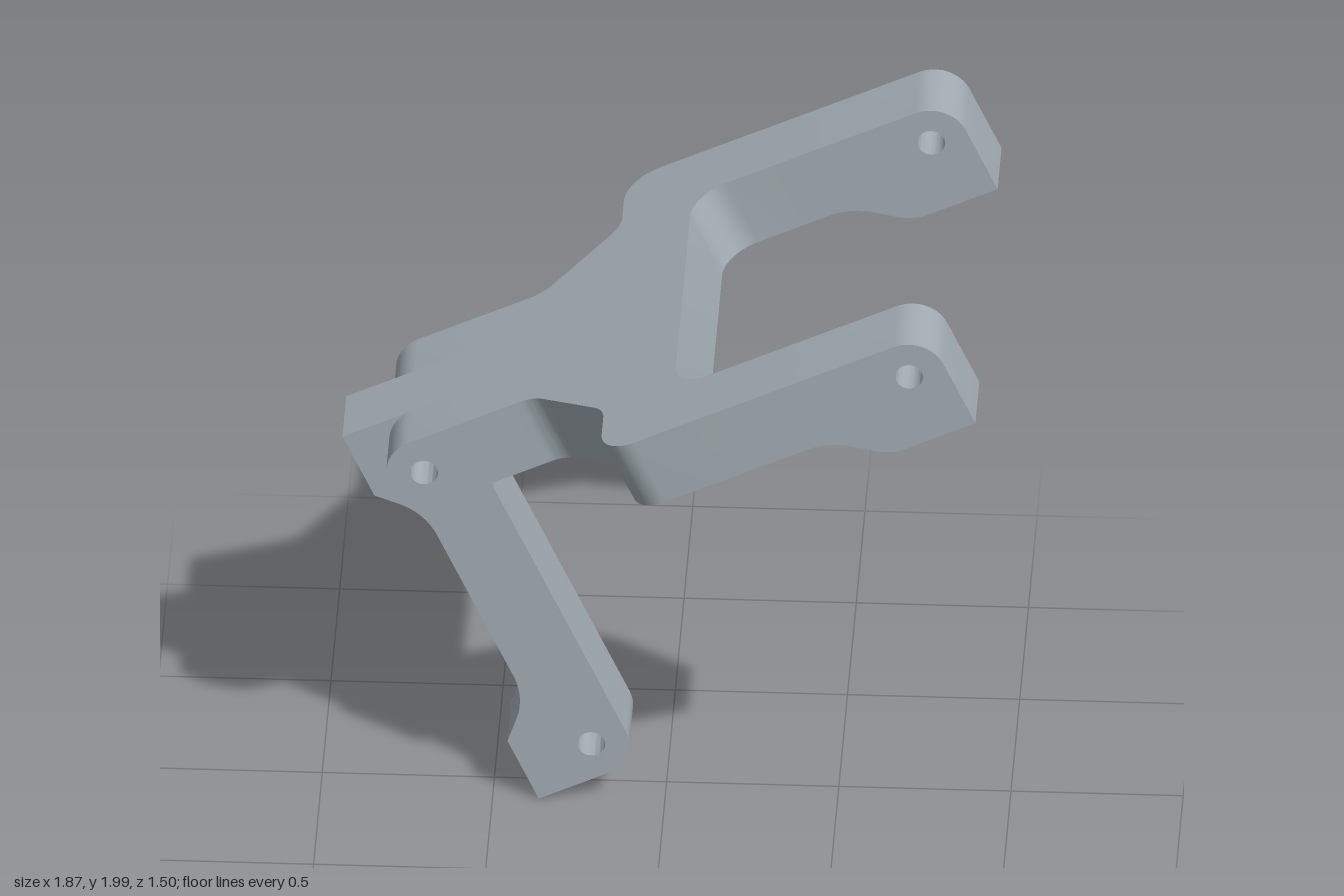
import * as THREE from 'three';
import { toCreasedNormals } from 'three/addons/utils/BufferGeometryUtils.js';

const ARM = 0.11;      // half thickness of every bar
const FOOT = -0.22;    // level of the drilled foot faces
const HOLE = 0.04;     // radius of the pivot holes

// Closed outline from corners [x, y, fillet radius]
function outline(corners) {
  const pts = [];
  const n = corners.length;
  corners.forEach(([x, y, r], i) => {
    const p = new THREE.Vector2(x, y);
    if (!r) { pts.push(p); return; }
    const a = new THREE.Vector2(...corners[(i + n - 1) % n].slice(0, 2)).sub(p).normalize();
    const b = new THREE.Vector2(...corners[(i + 1) % n].slice(0, 2)).sub(p).normalize();
    const half = Math.acos(a.dot(b)) / 2;
    const t = r / Math.tan(half);
    const c = a.clone().add(b).normalize().multiplyScalar(r / Math.sin(half)).add(p);
    const start = a.clone().multiplyScalar(t).add(p).sub(c).angle();
    const sweep = (Math.PI - 2 * half) * (a.cross(b) > 0 ? -1 : 1);
    for (let k = 0; k <= 10; k++) {
      const q = start + sweep * k / 10;
      pts.push(new THREE.Vector2(c.x + r * Math.cos(q), c.y + r * Math.sin(q)));
    }
  });
  return new THREE.Shape(pts);
}

function addHole(shape, x, y, r) {
  const path = new THREE.Path();
  path.absarc(x, y, r, 0, Math.PI * 2, true);
  shape.holes.push(path);
}

// Triangles of a geometry as triples of points
function triangles(geo) {
  const g = geo.index ? geo.toNonIndexed() : geo;
  const p = g.attributes.position;
  const out = [];
  for (let i = 0; i < p.count; i += 3) {
    out.push([0, 1, 2].map(k => new THREE.Vector3().fromBufferAttribute(p, i + k)));
  }
  return out;
}

function solid(tris) {
  const g = new THREE.BufferGeometry().setFromPoints(tris.flat());
  return toCreasedNormals(g, 0.5);
}

const near = (a, b) => Math.abs(a - b) < 1e-5;

function extrude(shape, depth) {
  return new THREE.ExtrudeGeometry(shape, { depth, bevelEnabled: false, curveSegments: 24 })
    .translate(0, 0, -depth / 2);
}

// Bar extruded across z, with pivot holes along y = 0 and countersunk bores in its feet
function bar(corners, width, pivots, feet, seam) {
  const shape = outline(corners);
  pivots.forEach(x => addHole(shape, x, 0, HOLE));
  let tris = triangles(extrude(shape, width)).filter(t => !seam(t));
  feet.forEach(x => {
    const isFace = t => t.every(v => near(v.y, FOOT) && Math.abs(v.x - x) < 0.25);
    const box = new THREE.Box3().setFromPoints(tris.filter(isFace).flat());
    tris = tris.filter(t => !isFace(t));
    const { min, max } = box;
    const plate = outline([[min.x, min.z], [max.x, min.z], [max.x, max.z], [min.x, max.z]]);
    addHole(plate, x, 0, 0.09);
    tris.push(...triangles(new THREE.ShapeGeometry(plate, 24).rotateX(Math.PI / 2).translate(0, FOOT, 0)));
    const bore = [[0.09, 0], [HOLE, 0.06], [HOLE, 0.18]].map(q => new THREE.Vector2(...q));
    tris.push(...triangles(new THREE.LatheGeometry(bore, 24).translate(x, FOOT, 0)));
  });
  return solid(tris);
}

export function createModel() {
  const grey = new THREE.MeshStandardMaterial({ color: 0xa3adb3, side: THREE.DoubleSide });
  grey.name = 'machined grey';
  const model = new THREE.Group();
  model.name = 'hingedForkBracket';

  // Everything is laid out around the hinge, then tilted
  const linkage = new THREE.Group();
  linkage.name = 'linkage';
  linkage.position.set(-0.69, 1.218, 0);
  linkage.rotation.z = THREE.MathUtils.degToRad(25);
  model.add(linkage);

  const fork = new THREE.Group();
  fork.name = 'fork';
  linkage.add(fork);

  const add = (parent, name, geo, z = 0) => {
    const mesh = new THREE.Mesh(geo, grey);
    mesh.name = name;
    mesh.position.z = z;
    parent.add(mesh);
    return mesh;
  };

  const slotEnd = 0.25, armStart = 1.15, tip = 1.58;
  const atX = x => t => t.every(v => near(v.x, x));

  // Fork bridge: flat plan that widens from the neck to the two arms
  const side = [[slotEnd, -0.283], [0.4, -0.283, 0.12], [0.64, -0.5, 0.1], [0.64, -0.75, 0.11],
    [armStart, -0.75], [armStart, -0.525], [0.865, -0.525, 0.11]];
  const plan = outline([...side, ...side.map(([x, y, r]) => [x, -y, r]).reverse()]);
  const bridge = triangles(extrude(plan, 2 * ARM).rotateX(-Math.PI / 2))
    .filter(t => !atX(slotEnd)(t) && !atX(armStart)(t));
  add(fork, 'forkBridge', solid(bridge));

  // Rounded hinge cheeks and footed arm ends, one pair on each side
  const cheek = bar([[slotEnd, -ARM], [slotEnd, ARM], [-ARM, ARM, 0.1099], [-ARM, -ARM, 0.1099]],
    0.173, [0], [], atX(slotEnd));
  const armEnd = bar([[armStart, -ARM], [1.27, -ARM, 0.2], [1.42, FOOT, 0.15], [1.69, FOOT],
    [1.69, ARM, ARM], [armStart, ARM]], 0.225, [tip], [tip], atX(armStart));
  for (const [s, label] of [[1, 'front'], [-1, 'back']]) {
    add(fork, label + 'HingeCheek', cheek, s * 0.1965);
    add(fork, label + 'ArmEnd', armEnd, s * 0.6375);
  }

  // Link hanging from the hinge, with a foot at each end and a filleted head in the slot
  const link = bar([[-ARM, FOOT], [ARM, FOOT], [0.22, -ARM, 0.2], [0.91, -ARM, 0.2], [1.024, FOOT],
    [1.239, FOOT], [1.239, ARM, ARM], [ARM, ARM, 0.12], [ARM, slotEnd], [-ARM, slotEnd]],
  2 * ARM, [0, 1.129], [0, 1.129], t => t.every(v => near(v.y, slotEnd)));
  add(linkage, 'link', link).rotation.z = -Math.PI / 2;

  return model;
}
